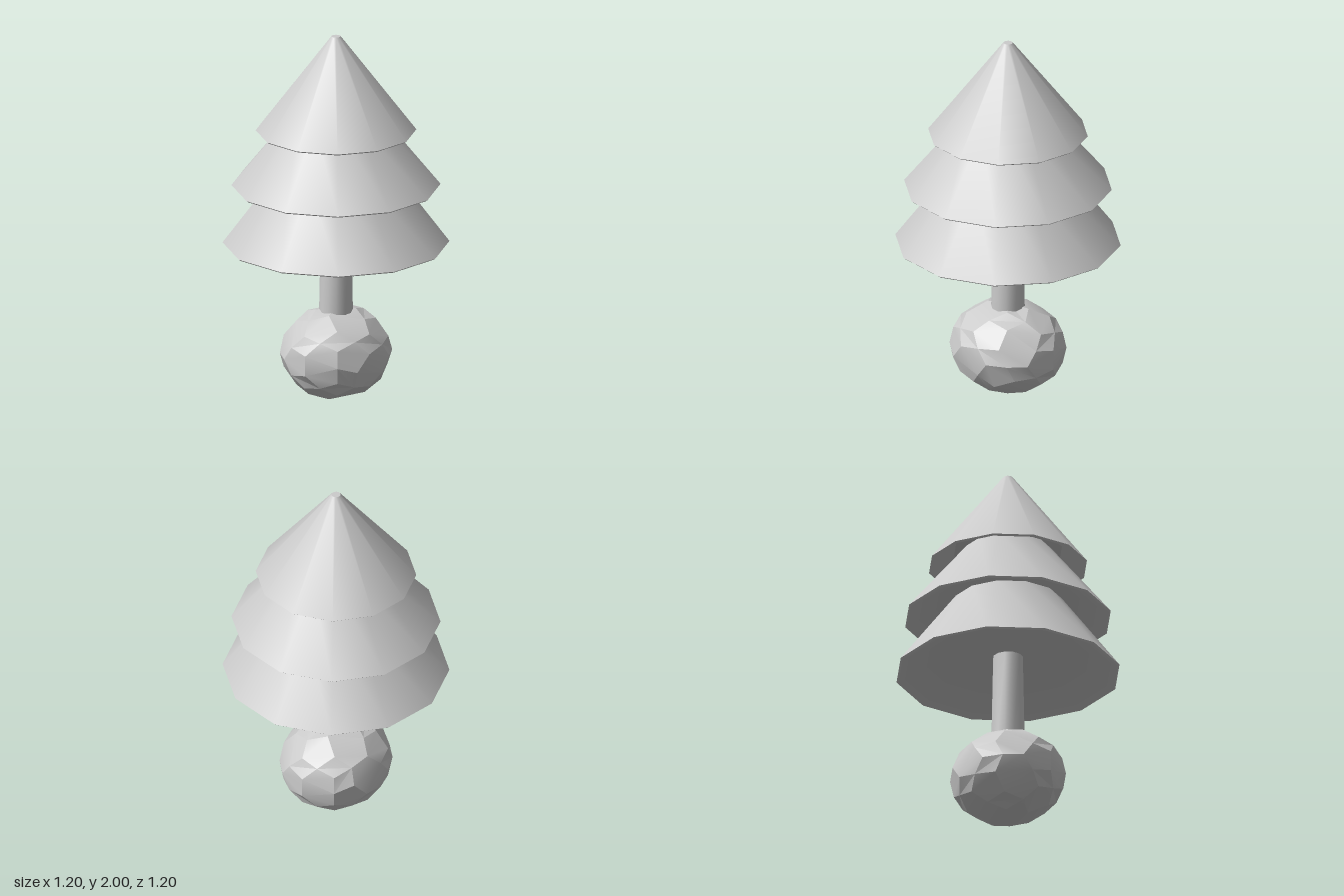
import * as THREE from 'three';
import { toCreasedNormals } from 'three/addons/utils/BufferGeometryUtils.js';

const material = new THREE.MeshStandardMaterial({ color: 0xcccccc });

function addPart(group, name, geometry, crease) {
  const mesh = new THREE.Mesh(toCreasedNormals(geometry, crease), material);
  mesh.name = name;
  group.add(mesh);
  return mesh;
}

// Twelve-sided cone of foliage with a thin rim and a recessed underside
function tierGeometry({ y, radius, topY, topRadius, ceiling }) {
  const profile = [
    [0, y + 0.1],
    [ceiling, y + 0.1],
    [radius - 0.01, y],
    [radius, y + 0.008],
    [topRadius, topY],
    [0, topY],
  ].map(([r, h]) => new THREE.Vector2(r, h));
  return new THREE.LatheGeometry(profile, 12);
}

export function createModel() {
  const tree = new THREE.Group();
  tree.name = 'tree';

  // Rounded root ball: a subdivided dodecahedron, turned and squashed
  const ball = new THREE.DodecahedronGeometry(1, 1);
  ball.rotateY(THREE.MathUtils.degToRad(33));
  ball.scale(0.29, 0.25, 0.32);
  ball.translate(0, 0.25, 0);
  addPart(tree, 'rootBall', ball, 0.42);

  // Slightly tapered trunk from the ball up into the lowest tier
  const trunk = new THREE.CylinderGeometry(0.08, 0.091, 0.56, 12);
  trunk.translate(0, 0.68, 0);
  addPart(tree, 'trunk', trunk, 0.6);

  // Foliage, each tier reaching up into the hollow of the next
  const tiers = [
    { name: 'lowerFoliage', y: 0.85, radius: 0.6, topY: 1.27, topRadius: 0.29, ceiling: 0.41 },
    { name: 'middleFoliage', y: 1.168, radius: 0.553, topY: 1.57, topRadius: 0.23, ceiling: 0.38 },
    { name: 'topFoliage', y: 1.472, radius: 0.425, topY: 2, topRadius: 0.025, ceiling: 0.29 },
  ];
  for (const tier of tiers) addPart(tree, tier.name, tierGeometry(tier), 0.6);

  return tree;
}
